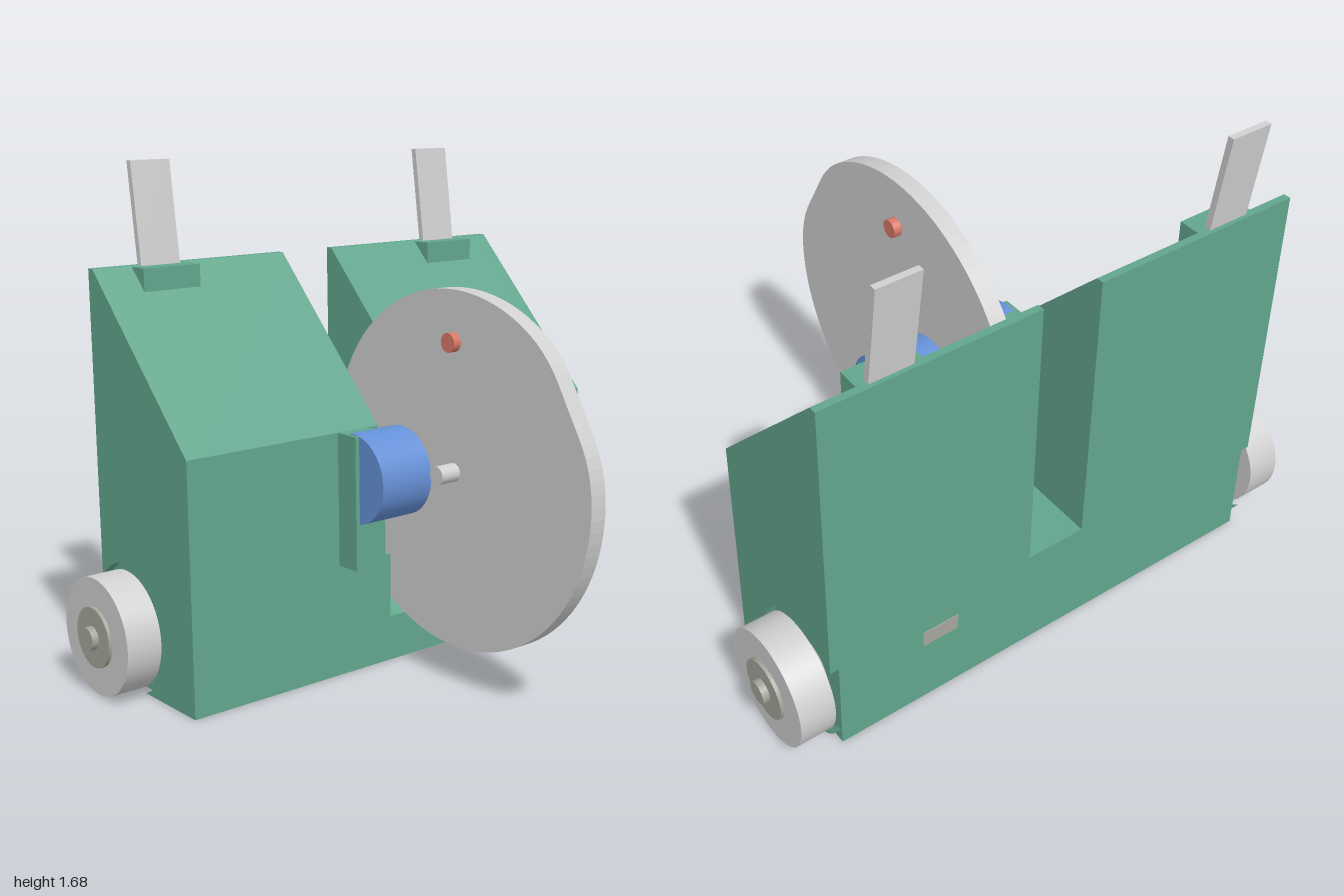
import * as THREE from 'three';

const mat = (name, color) => Object.assign(new THREE.MeshStandardMaterial({ color }), { name });

export function createModel() {
  const green = mat('body green', 0x62a58c);
  const grey = mat('light grey', 0xd0d0d0);
  const hubGrey = mat('hub grey', 0xa6a59c);
  const blue = mat('motor blue', 0x6691d8);
  const red = mat('pin red', 0xd87868);
  const root = new THREE.Group();

  const add = (name, geo, material) => {
    const m = new THREE.Mesh(geo, material);
    m.name = name;
    root.add(m);
    return m;
  };
  // side profile in (z, y), extruded from x0 to x1
  const slab = (name, shape, x0, x1, material) => {
    const g = new THREE.ExtrudeGeometry(shape, { depth: x1 - x0, bevelEnabled: false, curveSegments: 40 });
    g.rotateY(-Math.PI / 2).translate(x1, 0, 0);
    return add(name, g, material);
  };
  const poly = (pts) => new THREE.Shape(pts.map(([z, y]) => new THREE.Vector2(z, y)));
  const box = (name, x0, x1, y0, y1, z0, z1, material) => add(name,
    new THREE.BoxGeometry(x1 - x0, y1 - y0, z1 - z0)
      .translate((x0 + x1) / 2, (y0 + y1) / 2, (z0 + z1) / 2), material);
  // cylinder lying along x
  const rod = (name, r, x0, x1, y, z, material) => add(name,
    new THREE.CylinderGeometry(r, r, x1 - x0, 48).rotateZ(Math.PI / 2)
      .translate((x0 + x1) / 2, y, z), material);
  const bothSides = (x0, x1, fn) => { fn(x0, x1, 'left'); fn(-x1, -x0, 'right'); };

  const F = -0.16, B = -0.695, TOP = 1.35, FLOOR = 0.375;
  const wheelY = 0.2, wheelZ = -0.53, wellR = 0.215, wellDepth = 0.03;

  // sloped body halves
  const profile = poly([[F, 0], [F, 0.825], [-0.67, TOP], [B, TOP], [B, 0]]);
  bothSides(0.105, 0.84 - wellDepth, (a, b, s) => slab(s + 'BodyHalf', profile, a, b, green));

  // outer skins, cut away around each wheel
  const a0 = Math.acos((B - wheelZ) / wellR), a1 = Math.asin(wheelY / wellR);
  const skin = poly([[F, 0], [F, 0.825], [-0.67, TOP], [B, TOP]]);
  skin.absarc(wheelZ, wheelY, wellR, a0, -a1, true);
  const corner = poly([[B, 0]]);
  corner.absarc(wheelZ, wheelY, wellR, 2 * Math.PI - a0, Math.PI + a1, false);
  bothSides(0.84 - wellDepth, 0.84, (a, b, s) => {
    slab(s + 'BodySkin', skin, a, b, green);
    slab(s + 'BodySkinCorner', corner, a, b, green);
  });

  // bridge between the halves, with a curved groove for the disc
  const block = poly([[F, 0], [F, FLOOR], [B, FLOOR], [B, 0]]);
  bothSides(0.055, 0.105, (a, b, s) => slab(s + 'Bridge', block, a, b, green));
  const groove = poly([[B, 0], [F, 0], [F, 0.155]]);
  groove.quadraticCurveTo(-0.31, 0.235, -0.4, FLOOR);
  groove.lineTo(B, FLOOR);
  slab('grooveBridge', groove, -0.055, 0.055, green);

  // motors and their brackets
  bothSides(0.15, 0.27, (a, b, s) => box(s + 'MotorBracket', a, b, 0.38, 0.825, F, -0.07, green));
  bothSides(0.055, 0.255, (a, b, s) => rod(s + 'Motor', 0.148, a, b, 0.68, -0.098, blue));

  // large disc, slightly flattened at the upper front
  const rim = [];
  for (let i = 0; i < 96; i++) {
    const t = (i / 96) * Math.PI * 2;
    const k = 1 - 0.04 * Math.exp(-(((t - 0.52) / 0.25) ** 2));
    rim.push([0.127 + 0.602 * k * Math.cos(t), 0.71 + 0.585 * k * Math.sin(t)]);
  }
  slab('disc', poly(rim), -0.03, 0.03, grey);
  rod('discAxle', 0.03, -0.105, 0.105, 0.71, 0.13, grey);
  rod('discPin', 0.031, -0.058, 0.058, 1.13, 0.13, red);

  // wheels with hub and axle
  bothSides(0.845, 0.965, (a, b, s) => rod(s + 'Wheel', 0.195, a, b, wheelY, wheelZ, grey));
  bothSides(0.8, 0.977, (a, b, s) => rod(s + 'Hub', 0.1, a, b, wheelY, wheelZ, hubGrey));
  bothSides(0.8, 1, (a, b, s) => rod(s + 'WheelAxle', 0.038, a, b, wheelY, wheelZ, hubGrey));

  // leaning blades on their mounts
  bothSides(0.49, 0.7, (a, b, s) => box(s + 'BladeMount', a, b, 1.265, 1.347, B, -0.595, green));
  const blade = poly([[-0.658, TOP - 0.01], [-0.702, 1.68], [-0.724, 1.68], [-0.68, TOP - 0.01]]);
  bothSides(0.525, 0.67, (a, b, s) => slab(s + 'Blade', blade, a, b, grey));

  // small port on the back
  box('backPort', 0.38, 0.51, 0.238, 0.295, B - 0.003, B + 0.003, hubGrey);

  return root;
}
